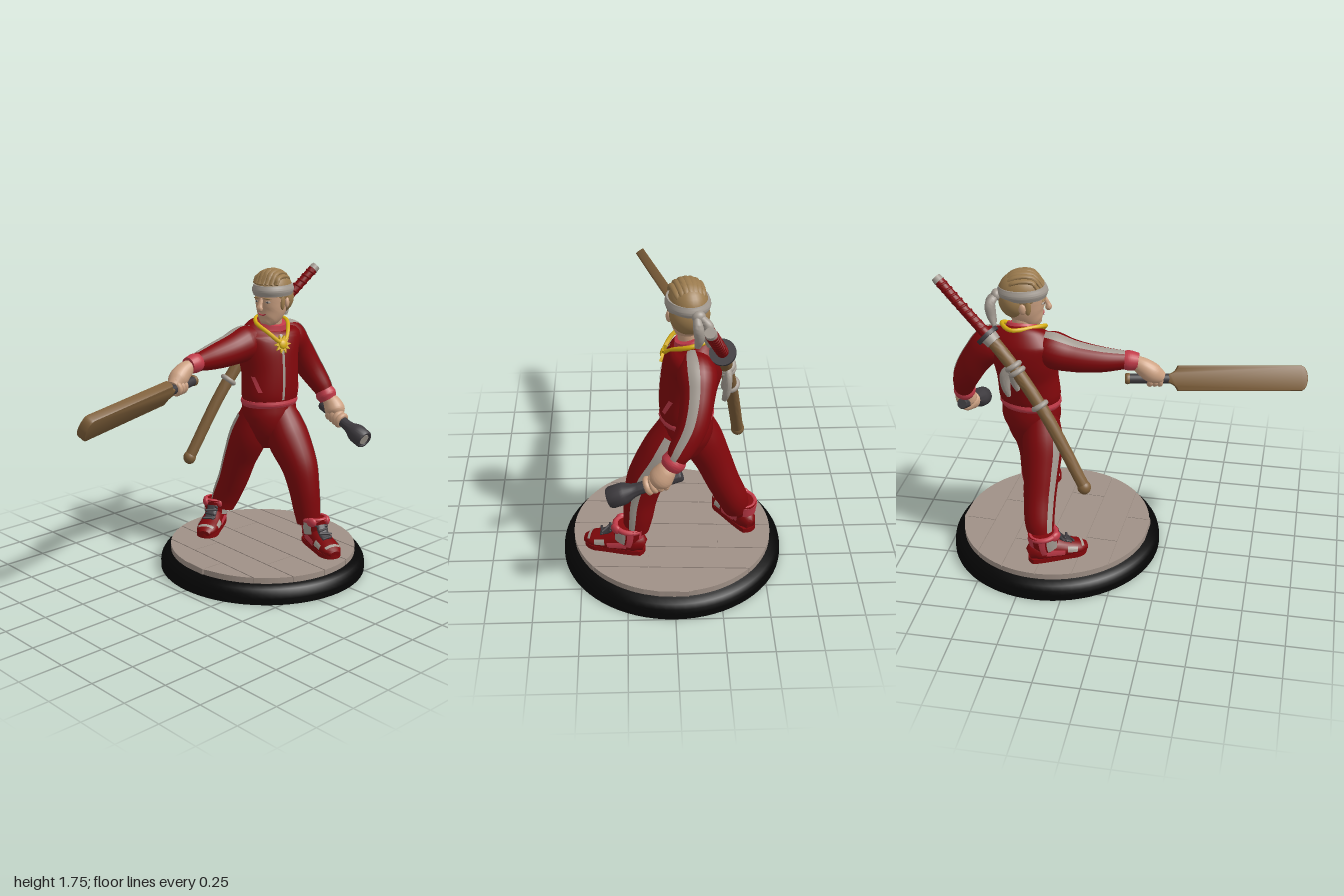
import * as THREE from 'three';
import { mergeVertices, toCreasedNormals } from 'three/addons/utils/BufferGeometryUtils.js';

const V = (x, y, z) => new THREE.Vector3(x, y, z);
const mat = (name, color, side = THREE.FrontSide) => {
  const m = new THREE.MeshStandardMaterial({ color, side });
  m.name = name;
  return m;
};

export function createModel() {
  const red = mat('tracksuit red', 0x80070b), pink = mat('trim red', 0xc03a48);
  const grey = mat('stripe grey', 0xa39b92, THREE.DoubleSide), skin = mat('skin', 0xcda283);
  const hair = mat('hair', 0x9a7a4d), wood = mat('wood', 0x7e5f3a), black = mat('base black', 0x050505);
  const dark = mat('dark grey', 0x3d3a3e), gold = mat('gold', 0xd9b012), plank = mat('plank', 0xa09187);
  const model = new THREE.Group();

  const add = (parent, name, geo, m, pos = [0, 0, 0], rot = [0, 0, 0], scale = [1, 1, 1]) => {
    const mesh = new THREE.Mesh(geo, m);
    mesh.name = name;
    mesh.position.set(...pos); mesh.rotation.set(...rot); mesh.scale.set(...scale);
    parent.add(mesh);
    return mesh;
  };
  const group = (name, pos, rotY = 0) => {
    const g = new THREE.Group();
    g.name = name; g.position.set(...pos); g.rotation.y = rotY;
    model.add(g);
    return g;
  };
  // Group whose local y runs along dir and local x lies near side
  const aimed = (name, pos, dir, side) => {
    const g = group(name, pos), y = dir.clone().normalize();
    const x = side.clone().addScaledVector(y, -side.dot(y)).normalize();
    g.quaternion.setFromRotationMatrix(new THREE.Matrix4().makeBasis(x, y, x.clone().cross(y)));
    return g;
  };
  // Elliptical sweep through stations [x, y, z, ra, rb]; ra lies along ref. A small arc gives a strip on the surface.
  const sweep = (parent, name, m, st, ref, { arc = Math.PI, at = 0, lift = 0, from = 0, to = 1, skew = 0, n = 28, k = 24 } = {}) => {
    const path = new THREE.CatmullRomCurve3(st.map(s => V(s[0], s[1], s[2])));
    const rad = new THREE.CatmullRomCurve3(st.map(s => V(s[3], s[4] ?? s[3], 0)), false, 'catmullrom', 0.5);
    const rows = [], pos = [], idx = [], full = arc === Math.PI;
    for (let i = 0; i <= n; i++) rows.push([from + (to - from) * i / n, 1]);
    if (full) { rows.unshift([from, 0.001]); rows.push([to, 0.001]); }
    for (const [u, s] of rows) {
      const c = path.getPoint(u), t = path.getTangent(u), r = rad.getPoint(u);
      const N = ref.clone().addScaledVector(t, -ref.dot(t)).normalize(), B = t.clone().cross(N);
      for (let j = 0; j <= k; j++) {
        const a = at + skew * (u - from) + arc * (2 * j / k - 1);
        const p = c.clone().addScaledVector(N, Math.cos(a) * (r.x + lift) * s).addScaledVector(B, Math.sin(a) * (r.y + lift) * s);
        pos.push(p.x, p.y, p.z);
      }
    }
    for (let i = 0; i < rows.length - 1; i++) for (let j = 0; j < k; j++) {
      const a = i * (k + 1) + j, c = a + k + 1;
      idx.push(a, a + 1, c, a + 1, c + 1, c);
    }
    let g = new THREE.BufferGeometry();
    g.setAttribute('position', new THREE.Float32BufferAttribute(pos, 3));
    g.setIndex(idx);
    g = toCreasedNormals(mergeVertices(g, 1e-6), 0.9);
    return add(parent, name, g, m);
  };
  const lathe = (pts, n = 40) => toCreasedNormals(new THREE.LatheGeometry(pts.map(p => new THREE.Vector2(...p)), n), 0.6);
  const ball = new THREE.SphereGeometry(1, 28, 20);

  // Round base with a shallow recess below, and floorboards
  const base = group('base', [0, 0, -0.395]);
  add(base, 'baseRim', lathe([[0, 0.012], [0.55, 0.012], [0.56, 0], [0.605, 0], [0.605, 0.035], [0.6, 0.06], [0.585, 0.085], [0.56, 0.1], [0, 0.105]], 72), black);
  add(base, 'boardBed', new THREE.CylinderGeometry(0.543, 0.543, 0.028, 64), plank, [0, 0.115, 0]);
  const R = 0.545, cuts = [-0.545, -0.4, -0.22, -0.02, 0.18, 0.35, 0.545];
  for (let i = 0; i < cuts.length - 1; i++) for (const s of [-1, 1]) {
    const z0 = cuts[i] + 0.003, z1 = cuts[i + 1] - 0.003, joint = [0.1, -0.15, 0.28, -0.25, 0.12, -0.1][i] + s * 0.002;
    const pts = [new THREE.Vector2(joint, z0)];
    for (let j = 0; j <= 12; j++) {
      const z = z0 + (z1 - z0) * j / 12;
      pts.push(new THREE.Vector2(s * Math.sqrt(Math.max(0, R * R - z * z)), z));
    }
    pts.push(new THREE.Vector2(joint, z1));
    const g = new THREE.ExtrudeGeometry(new THREE.Shape(pts), { depth: 0.034, bevelEnabled: false });
    add(base, 'floorboard', g, plank, [0, 0.102, 0], [-Math.PI / 2, 0, -0.05]);
  }

  // Trousers with side stripes
  sweep(model, 'hips', red, [[-0.06, 0.69, -0.5, 0.03, 0.05], [-0.065, 0.75, -0.5, 0.09, 0.115], [-0.068, 0.83, -0.5, 0.13, 0.15], [-0.07, 0.9, -0.503, 0.14, 0.168], [-0.07, 0.98, -0.505, 0.132, 0.162]], V(1, 0, 0.2));
  const legs = {
    right: [[[-0.1, 0.92, -0.44, 0.09], [-0.155, 0.76, -0.425, 0.112], [-0.225, 0.6, -0.42, 0.098], [-0.277, 0.47, -0.422, 0.09], [-0.335, 0.34, -0.415, 0.083], [-0.355, 0.27, -0.4, 0.072]], V(-0.6, 0, 0.8)],
    left: [[[-0.03, 0.92, -0.54, 0.1], [0.04, 0.77, -0.548, 0.124], [0.135, 0.61, -0.555, 0.106], [0.172, 0.48, -0.56, 0.09], [0.188, 0.36, -0.57, 0.08], [0.2, 0.27, -0.575, 0.068]], V(0.4, 0, -0.92)],
  };
  for (const [s, [st, ref]] of Object.entries(legs)) {
    sweep(model, s + 'TrouserLeg', red, st, ref);
    sweep(model, s + 'LegStripe', grey, st, ref, { arc: 0.22, lift: 0.004, from: 0.06, to: 0.97, k: 4 });
  }

  // Jacket: body, waistband, zip, pockets
  const front = V(1, 0, 0.2);
  const body = [[-0.07, 0.96, -0.505, 0.128, 0.162], [-0.07, 1.02, -0.508, 0.14, 0.175], [-0.08, 1.15, -0.515, 0.147, 0.172], [-0.1, 1.27, -0.52, 0.153, 0.188], [-0.108, 1.36, -0.53, 0.134, 0.205], [-0.105, 1.41, -0.53, 0.1, 0.15], [-0.095, 1.44, -0.53, 0.06, 0.07]];
  sweep(model, 'jacketBody', red, body, front, { n: 40, k: 36 });
  sweep(model, 'waistband', pink, [[-0.07, 0.957, -0.505, 0.134, 0.168], [-0.07, 0.975, -0.505, 0.142, 0.176], [-0.07, 0.995, -0.505, 0.138, 0.173]], front);
  sweep(model, 'zip', grey, body, front, { arc: 0.045, lift: 0.004, from: 0.12, to: 0.74, k: 2 });
  for (const s of [-1, 1]) sweep(model, 'pocket', pink, body, front, { arc: 0.085, at: s * 0.82, skew: s * 2.8, lift: 0.004, from: 0.2, to: 0.31, k: 2, n: 8 });
  sweep(model, 'collar', pink, [[-0.1, 1.385, -0.53, 0.112, 0.116], [-0.09, 1.415, -0.53, 0.092, 0.096], [-0.08, 1.445, -0.53, 0.078, 0.082]], front);
  sweep(model, 'neck', skin, [[-0.09, 1.38, -0.53, 0.06], [-0.07, 1.53, -0.52, 0.062]], V(0, 0, 1));

  // Sleeves, shoulder stripes and cuffs
  const arms = {
    right: [[[-0.1, 1.355, -0.46, 0.06], [-0.13, 1.325, -0.37, 0.1], [-0.135, 1.298, -0.25, 0.088], [-0.125, 1.283, -0.1, 0.07], [-0.1, 1.28, 0.04, 0.048]], V(-0.25, 1, 0)],
    left: [[[-0.1, 1.37, -0.58, 0.05], [-0.11, 1.325, -0.69, 0.098], [-0.11, 1.24, -0.775, 0.086], [-0.08, 1.11, -0.855, 0.076], [-0.02, 1.0, -0.9, 0.06], [0.008, 0.95, -0.91, 0.048]], V(0.2, 0.6, -0.8)],
  };
  for (const [s, [st, ref]] of Object.entries(arms)) {
    sweep(model, s + 'Sleeve', red, st, ref);
    sweep(model, s + 'SleeveStripe', grey, st, ref, { arc: 0.29, lift: 0.004, from: 0.05, to: 0.98, k: 4 });
  }
  sweep(model, 'rightCuff', pink, [[-0.105, 1.282, 0.01, 0.046], [-0.1, 1.278, 0.05, 0.054], [-0.096, 1.273, 0.1, 0.046]], V(0, 1, 0));
  sweep(model, 'leftCuff', pink, [[-0.004, 0.98, -0.903, 0.052], [0.01, 0.95, -0.91, 0.062], [0.026, 0.92, -0.915, 0.05]], V(0, 0, 1));
  sweep(model, 'rightHand', skin, [[-0.097, 1.273, 0.08, 0.036], [-0.1, 1.245, 0.13, 0.05, 0.048], [-0.095, 1.21, 0.178, 0.054, 0.052], [-0.08, 1.18, 0.225, 0.034]], V(0, 1, 0));
  sweep(model, 'leftHand', skin, [[0.022, 0.935, -0.912, 0.038], [0.05, 0.9, -0.922, 0.054], [0.075, 0.86, -0.924, 0.06], [0.092, 0.825, -0.918, 0.034]], V(0, 0, 1));
  const fingers = (g, ys, r) => ys.forEach(y => add(g, 'finger', new THREE.TorusGeometry(r, 0.016, 10, 24), skin, [0, y, 0], [Math.PI / 2, 0, 0]));

  // Bat held forward
  const bat = aimed('bat', [-0.05, 1.165, 0.3], V(0.18, -0.03, 0.69), V(0.5, 0.86, 0));
  const o = new THREE.Shape();
  o.moveTo(-0.018, -0.04); o.lineTo(0.018, -0.04); o.quadraticCurveTo(0.03, 0, 0.062, 0.01);
  o.lineTo(0.062, 0.68); o.quadraticCurveTo(0.055, 0.705, 0, 0.71); o.quadraticCurveTo(-0.055, 0.705, -0.062, 0.68);
  o.lineTo(-0.062, 0.01); o.quadraticCurveTo(-0.03, 0, -0.018, -0.04);
  const bladeGeo = new THREE.ExtrudeGeometry(o, { depth: 0.03, bevelThickness: 0.012, bevelSize: 0.006, bevelSegments: 3, curveSegments: 8 });
  add(bat, 'batBlade', toCreasedNormals(bladeGeo, 0.6), wood, [0, 0, -0.015]);
  add(bat, 'batGrip', new THREE.CylinderGeometry(0.027, 0.027, 0.24, 20), dark, [0, -0.135, 0]);
  add(bat, 'batPommel', lathe([[0, -0.278], [0.026, -0.276], [0.031, -0.266], [0.028, -0.252], [0, -0.25]], 20), wood);
  fingers(bat, [-0.09, -0.117, -0.144], 0.029);

  // Torch in the lowered hand
  const torch = aimed('torch', [0.09, 0.83, -0.915], V(0.25, -0.1, 0.01), V(0, 0, 1));
  add(torch, 'torchBody', lathe([[0, -0.13], [0.026, -0.13], [0.031, -0.12], [0.031, 0.1], [0.036, 0.13], [0.053, 0.17], [0.057, 0.19], [0.056, 0.25], [0.05, 0.26], [0.042, 0.26], [0.04, 0.25], [0, 0.25]], 28), dark);
  add(torch, 'torchLens', new THREE.CylinderGeometry(0.032, 0.032, 0.006, 24), grey, [0, 0.252, 0]);
  fingers(torch, [-0.035, -0.007, 0.021, 0.049], 0.034);

  // Sheathed sword across the back
  const up = V(0, 0, 1);
  const sheath = [[-0.235, 1.42, -0.67, 0.036], [-0.27, 1.23, -0.51, 0.036], [-0.315, 1.0, -0.35, 0.034], [-0.372, 0.63, -0.15, 0.032]];
  const hilt = [[-0.155, 1.69, -0.955, 0.027], [-0.195, 1.56, -0.82, 0.027], [-0.235, 1.43, -0.68, 0.03]];
  sweep(model, 'sheath', wood, sheath, up);
  add(model, 'sheathTip', ball, wood, [-0.373, 0.625, -0.148], [0, 0, 0], [0.037, 0.04, 0.037]);
  sweep(model, 'swordHilt', red, hilt, up);
  const hiltDir = V(0.08, 0.26, -0.275);
  for (let i = 0; i < 9; i++) {
    const f = 0.08 + i * 0.1, wrap = aimed('hiltWrap', [-0.155 - 0.08 * f, 1.69 - 0.26 * f, -0.955 + 0.275 * f], hiltDir, V(1, 0, 0));
    add(wrap, 'hiltCord', new THREE.TorusGeometry(0.024, 0.008, 8, 20), red, [0, 0, 0], [Math.PI / 2 + 0.3, 0, 0]);
  }
  const cap = aimed('swordFittings', [-0.235, 1.43, -0.68], hiltDir, V(1, 0, 0));
  add(cap, 'swordGuard', new THREE.CylinderGeometry(0.066, 0.066, 0.022, 32), dark);
  add(cap, 'sheathMouth', new THREE.CylinderGeometry(0.046, 0.042, 0.04, 24), grey, [0, -0.03, 0]);
  add(cap, 'swordPommel', new THREE.CylinderGeometry(0.026, 0.03, 0.03, 20), grey, [0, 0.39, 0]);
  for (const [x, y, z] of [[-0.265, 1.275, -0.54], [-0.27, 1.245, -0.52], [-0.303, 1.07, -0.395]]) {
    const ring = aimed('sheathTie', [x, y, z], V(0.06, 0.22, -0.16), V(1, 0, 0));
    add(ring, 'tieCord', new THREE.TorusGeometry(0.036, 0.015, 10, 24), grey, [0, 0, 0], [Math.PI / 2, 0, 0]);
  }
  for (const [dz, low] of [[0, 1.09], [0.05, 1.13]])
    sweep(model, 'hangingTie', grey, [[-0.275, 1.27, -0.56, 0.022, 0.018], [-0.275, 1.22, -0.585 + dz, 0.03, 0.02], [-0.268, low + 0.05, -0.585 + dz, 0.024, 0.02], [-0.258, low, -0.575 + dz, 0.012, 0.014]], up);

  // Chain and sun medallion
  const chain = new THREE.CatmullRomCurve3([V(-0.2, 1.45, -0.56), V(-0.1, 1.44, -0.42), V(-0.005, 1.395, -0.425), V(0.045, 1.335, -0.49), V(-0.005, 1.395, -0.585), V(-0.09, 1.44, -0.64)], true);
  add(model, 'chain', new THREE.TubeGeometry(chain, 60, 0.012, 8, true), gold);
  const rays = [];
  for (let i = 0; i < 20; i++) {
    const r = i % 2 ? 0.03 : 0.054, a = i * Math.PI / 10;
    rays.push(new THREE.Vector2(r * Math.cos(a), r * Math.sin(a)));
  }
  const medal = group('medallion', [0.038, 1.325, -0.492], Math.PI / 2 - 0.25);
  add(medal, 'sunRays', new THREE.ExtrudeGeometry(new THREE.Shape(rays), { depth: 0.014, bevelEnabled: false }), gold, [0, 0, 0], [-0.25, 0, 0]);
  add(medal, 'sunDisc', ball, gold, [0, 0.003, 0.014], [-0.25, 0, 0], [0.026, 0.026, 0.012]);

  // Head, hair and headband
  const head = group('head', [-0.07, 1.583, -0.52], 0.2), fwd = V(0, 0, 1);
  sweep(head, 'face', skin, [[0, -0.15, 0.07, 0.028, 0.028], [0, -0.128, 0.052, 0.06, 0.054], [0, -0.085, 0.025, 0.092, 0.076], [0, -0.035, 0.008, 0.11, 0.087], [0, 0.03, 0, 0.118, 0.093], [0, 0.1, -0.005, 0.1, 0.08]], fwd);
  add(head, 'hairTop', ball, hair, [0, 0.04, -0.008], [0, 0, 0], [0.1, 0.115, 0.126]);
  add(head, 'hairBack', ball, hair, [0, -0.005, -0.045], [0, 0, 0], [0.101, 0.1, 0.09]);
  for (let i = -3; i <= 3; i++) {
    const x = i * 0.024, h = Math.sqrt(1 - (x / 0.1) ** 2);
    sweep(head, 'hairLock', hair, [[x, 0.08, 0.108 * h, 0.014, 0.008], [x * 0.9, 0.045 + 0.1 * h, 0.05, 0.022, 0.013], [x * 0.8, 0.04 + 0.1 * h, -0.05, 0.022, 0.013], [x * 0.6, 0.07, -0.122 * h, 0.014, 0.008]], V(1, 0, 0), { n: 16, k: 12 });
  }
  sweep(head, 'headband', grey, [[0, 0.015, -0.004, 0.126, 0.104], [0, 0.045, -0.004, 0.136, 0.113], [0, 0.075, -0.004, 0.126, 0.104]], fwd, { k: 36 });
  add(head, 'headbandKnot', ball, grey, [-0.02, 0.03, -0.143], [0, 0, 0], [0.034, 0.032, 0.026]);
  for (const s of [-1, 1]) {
    sweep(head, 'headbandTail', grey, [[s * 0.01 - 0.02, 0.03, -0.145, 0.02, 0.018], [s * 0.025 - 0.035, -0.01, -0.175, 0.026, 0.026], [s * 0.022 - 0.04, -0.07, -0.172, 0.024, 0.026], [s * 0.032 - 0.045, -0.13, -0.155, 0.01, 0.016]], fwd, { k: 12 });
    add(head, 'ear', ball, skin, [s * 0.096, -0.025, -0.005], [0, s * 0.3, 0], [0.012, 0.03, 0.02]);
    add(head, 'sideburn', ball, hair, [s * 0.084, -0.02, 0.024], [0, 0, 0], [0.012, 0.045, 0.018]);
    add(head, 'eye', ball, grey, [s * 0.037, -0.015, 0.103], [0, s * 0.35, 0], [0.015, 0.006, 0.006]);
    add(head, 'pupil', ball, dark, [s * 0.036, -0.015, 0.107], [0, s * 0.35, 0], [0.005, 0.005, 0.004]);
    add(head, 'eyebrow', ball, hair, [s * 0.038, 0.005, 0.108], [0, s * 0.35, s * -0.1], [0.024, 0.005, 0.006]);
  }
  sweep(head, 'nose', skin, [[0, 0.005, 0.11, 0.01], [0, -0.03, 0.125, 0.013], [0, -0.052, 0.13, 0.018, 0.019], [0, -0.062, 0.118, 0.012]], fwd, { n: 14, k: 12 });
  add(head, 'mouth', new THREE.TorusGeometry(0.03, 0.004, 6, 16, 1.8), pink, [0, -0.064, 0.11], [0.3, 0, -Math.PI / 2 - 0.9]);

  // High-top shoes, toe along local x
  const shoe = (name, x, z, dx, dz) => {
    const g = group(name, [x, 0.135, z], Math.atan2(-dz, dx)), y = V(0, 1, 0), fore = V(1, 0, 0);
    g.scale.z = 0.92;
    const sole = new THREE.Shape();
    sole.moveTo(-0.08, -0.045); sole.bezierCurveTo(0, -0.065, 0.1, -0.06, 0.17, -0.072); sole.bezierCurveTo(0.27, -0.066, 0.27, 0.066, 0.17, 0.072);
    sole.bezierCurveTo(0.1, 0.06, 0, 0.065, -0.08, 0.045); sole.quadraticCurveTo(-0.11, 0, -0.08, -0.045);
    add(g, 'sole', toCreasedNormals(new THREE.ExtrudeGeometry(sole, { depth: 0.028, bevelEnabled: false }), 0.6), red, [0, 0.001, 0], [-Math.PI / 2, 0, 0]);
    const upper = [[-0.095, 0.05, 0, 0.035, 0.03], [-0.05, 0.065, 0, 0.062, 0.058], [0.04, 0.06, 0, 0.07, 0.066], [0.13, 0.047, 0, 0.05, 0.071], [0.2, 0.038, 0, 0.036, 0.065], [0.245, 0.03, 0, 0.018, 0.035]];
    sweep(g, 'shoeUpper', red, upper, y);
    const ankle = [[0.015, 0.05, 0, 0.07, 0.064], [0, 0.11, 0, 0.08, 0.074], [-0.005, 0.175, 0, 0.088, 0.08]];
    sweep(g, 'shoeAnkle', red, ankle, fore);
    sweep(g, 'heelCounter', grey, ankle, fore, { at: Math.PI, arc: 0.55, lift: 0.005, from: 0.1, to: 0.5, k: 8 });
    sweep(g, 'heelTab', pink, ankle, fore, { at: Math.PI, arc: 0.6, lift: 0.006, from: 0.55, to: 1, k: 8 });
    sweep(g, 'toePanel', grey, upper, y, { arc: 0.9, lift: 0.004, from: 0.8, to: 0.87, k: 10, n: 6 });
    for (const s of [-1, 1]) {
      sweep(g, 'anklePanel', grey, ankle, fore, { at: s * 1.25, arc: 0.4, lift: 0.005, from: 0.25, to: 0.85, k: 6 });
      sweep(g, 'ankleTrim', pink, ankle, fore, { at: s * 1.95, arc: 0.2, lift: 0.005, from: 0.15, to: 0.95, k: 6 });
      sweep(g, 'sidePanel', grey, upper, y, { at: s * 1.25, arc: 0.3, lift: 0.004, from: 0.56, to: 0.72, k: 6 });
      sweep(g, 'sideTrim', pink, upper, y, { at: s * 1.55, arc: 0.25, lift: 0.004, from: 0.3, to: 0.53, k: 6 });
      add(g, 'collarFlap', ball, pink, [0.05, 0.165, s * 0.055], [0, s * 0.5, 0.2], [0.034, 0.028, 0.02]);
    }
    sweep(g, 'tongue', dark, [[0.15, 0.088, 0, 0.01, 0.034], [0.1, 0.115, 0, 0.012, 0.036], [0.075, 0.15, 0, 0.012, 0.034]], V(1, 1, 0));
    for (let i = 0; i < 4; i++) add(g, 'lace', new THREE.CapsuleGeometry(0.007, 0.07, 4, 8), dark, [0.15 - i * 0.024, 0.098 + i * 0.016, 0], [Math.PI / 2, 0, i % 2 ? 0.3 : -0.3]);
    add(g, 'shoeCollar', new THREE.TorusGeometry(0.073, 0.015, 10, 28), pink, [-0.005, 0.165, 0], [Math.PI / 2, 0.12, 0]);
  };
  shoe('rightShoe', -0.388, -0.378, 0.15, 0.26);
  shoe('leftShoe', 0.245, -0.582, 0.31, 0.1);

  return model;
}
